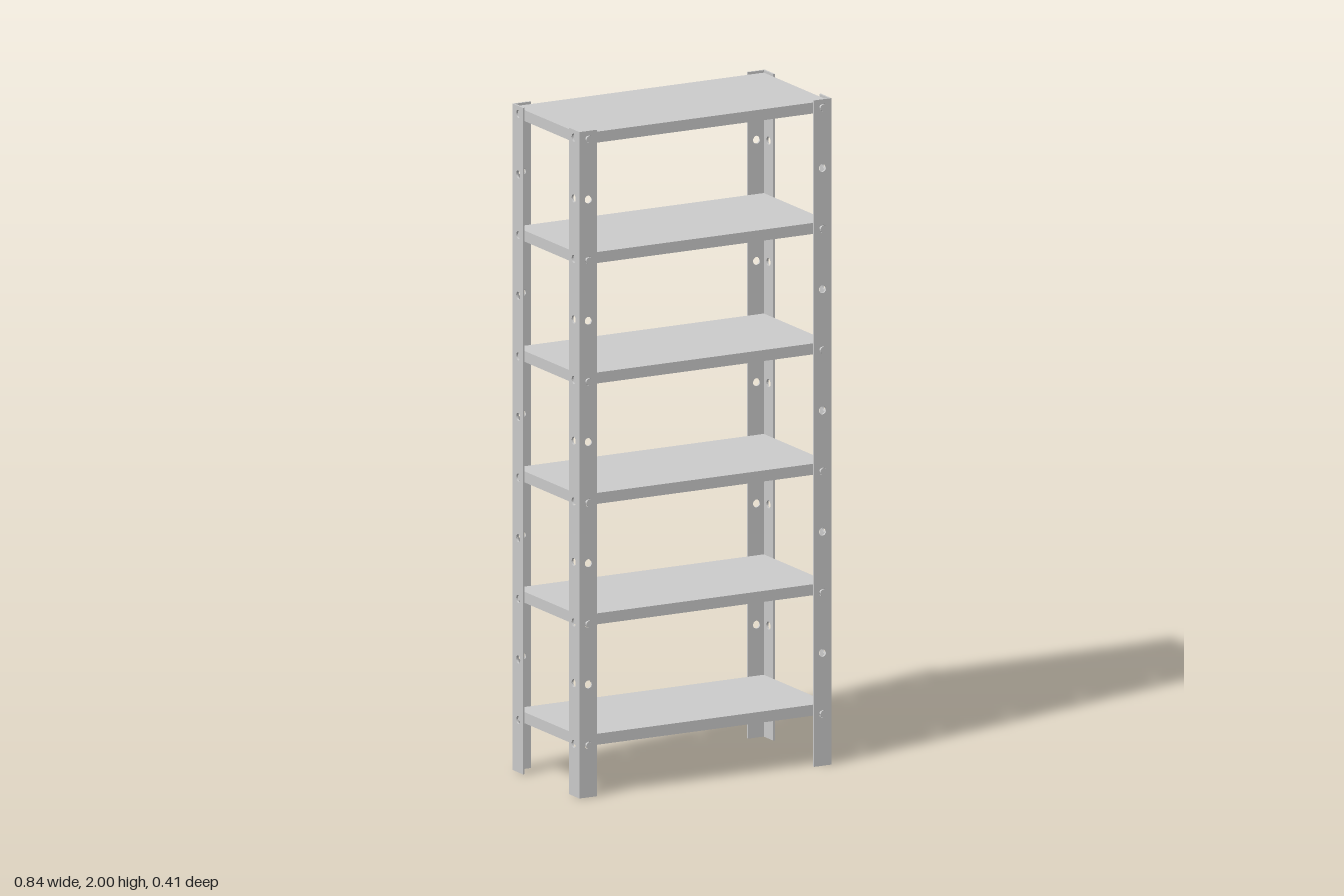
import * as THREE from 'three';

const HX = 0.421, HZ = 0.199, T = 0.006;      // outer half sizes and sheet thickness
const HOLE_Y0 = 0.157, HOLE_STEP = 0.1819, HOLES = 11, HOLE_R = 0.012;
const HOLE_X = 0.391, HOLE_Z = 0.165;
const SHELVES = 6;

const mat = new THREE.MeshStandardMaterial({ color: 0xcccccc, flatShading: true });

function add(parent, name, geometry) {
  const m = new THREE.Mesh(geometry, mat);
  m.name = name;
  parent.add(m);
  return m;
}

// Upright perforated strip spanning a..b across, extruded along +z by T
function perforatedStrip(a, b, holeAt) {
  const s = new THREE.Shape();
  s.moveTo(a, 0).lineTo(b, 0).lineTo(b, 2).lineTo(a, 2).closePath();
  for (let i = 0; i < HOLES; i++) {
    const h = new THREE.Path();
    h.absarc(holeAt, HOLE_Y0 + i * HOLE_STEP, HOLE_R, 0, Math.PI * 2, true);
    s.holes.push(h);
  }
  return new THREE.ExtrudeGeometry(s, { depth: T, bevelEnabled: false, curveSegments: 8 });
}

// Angle-iron post for one corner; sx, sz choose the corner
function post(sx, sz) {
  const g = new THREE.Group();
  g.name = 'cornerPost';
  const wide = sx > 0 ? [HX - 0.058, HX] : [-HX, -HX + 0.058];
  add(g, 'faceFlange', perforatedStrip(wide[0], wide[1], sx * HOLE_X))
    .position.z = sz > 0 ? HZ - T : -HZ;
  // strip turned so its width runs along z (local x becomes -z)
  const deep = sz > 0 ? [-(HZ - T), -0.137] : [0.137, HZ - T];
  const side = add(g, 'sideFlange', perforatedStrip(deep[0], deep[1], -sz * HOLE_Z));
  side.rotation.y = Math.PI / 2;
  side.position.x = sx > 0 ? HX - T : -HX;
  return g;
}

// Bolt with a shank through the flange and a flat head outside
function bolt(sx, sz, y) {
  const g = new THREE.Group();
  g.name = 'bolt';
  const shank = add(g, 'boltShank', new THREE.CylinderGeometry(0.007, 0.007, 0.014, 12));
  shank.position.y = -0.002;
  const head = add(g, 'boltHead', new THREE.CylinderGeometry(0.0105, 0.0105, 0.005, 12));
  head.position.y = 0.005;
  g.rotation.x = sz * Math.PI / 2;
  g.position.set(sx * HOLE_X, y, sz * HZ);
  return g;
}

export function createModel() {
  const model = new THREE.Group();
  model.name = 'shelvingUnit';

  // Shelves
  for (let i = 0; i < SHELVES; i++) {
    add(model, 'shelf', new THREE.BoxGeometry(2 * (HX - T), 0.033, 2 * (HZ - T)))
      .position.y = 0.169 + i * 0.3614;
  }

  // Posts and the bolts holding each shelf
  for (const sx of [-1, 1]) {
    for (const sz of [-1, 1]) {
      model.add(post(sx, sz));
      for (let i = 0; i < SHELVES; i++) model.add(bolt(sx, sz, HOLE_Y0 + 2 * i * HOLE_STEP));
    }
  }
  return model;
}
